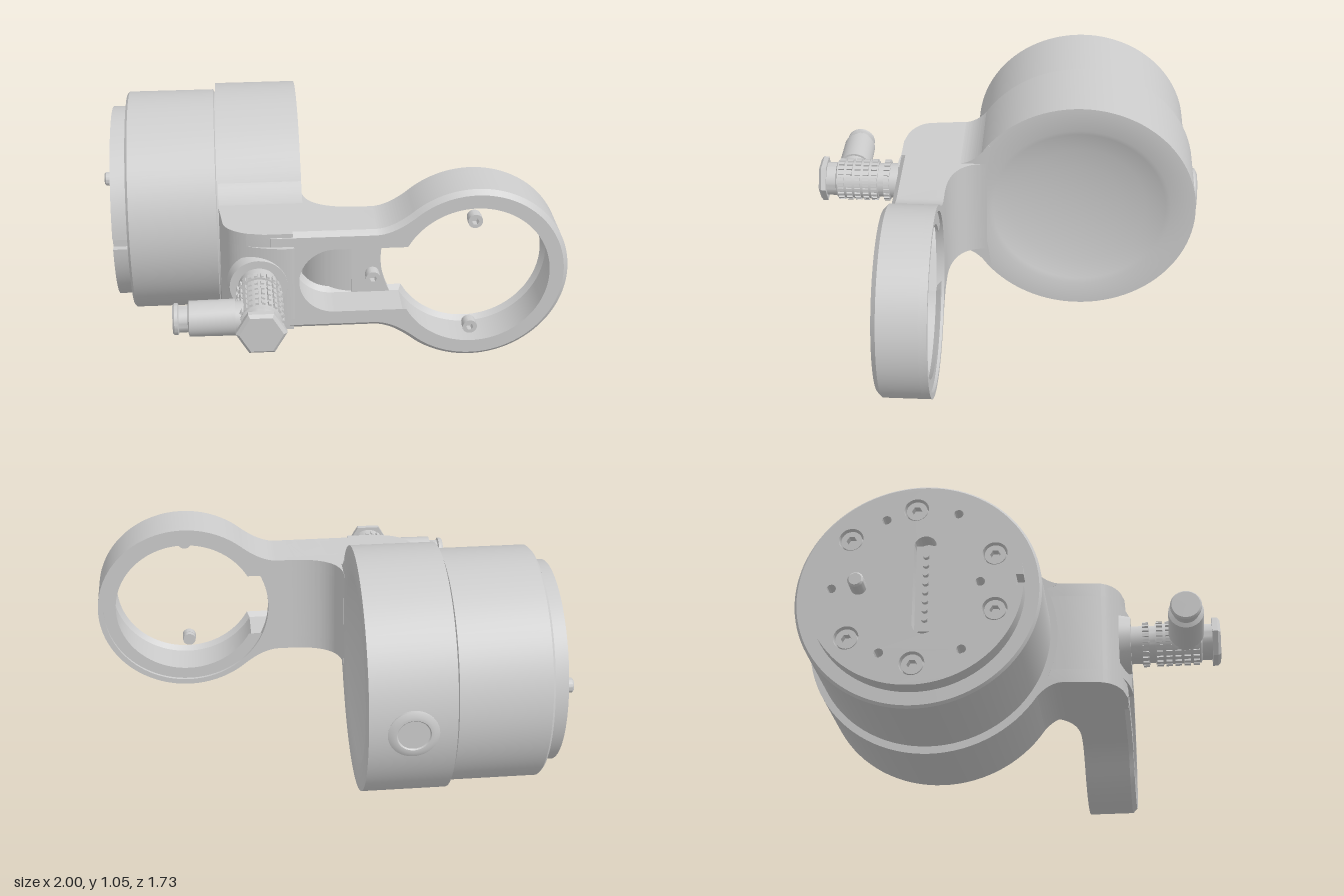
import * as THREE from 'three';
import { toCreasedNormals, mergeGeometries } from 'three/addons/utils/BufferGeometryUtils.js';

const CY = 0.527, CZ = -0.335; // drum axis
const ARM = 0.23, SLOT = 0.17; // half heights of the arm and of its slot
const mat = new THREE.MeshStandardMaterial({ color: 0xcccccc, side: THREE.DoubleSide });

function add(parent, name, geo, x = 0, y = 0, z = 0) {
  const m = new THREE.Mesh(toCreasedNormals(geo, 0.5), mat);
  m.name = name;
  m.position.set(x, y, z);
  parent.add(m);
  return m;
}

// Turned part from [radius, height] pairs; the axis is 'x' or 'z'
function turned(profile, axis, segments = 96) {
  const g = new THREE.LatheGeometry(profile.map(p => new THREE.Vector2(...p)), segments);
  return axis === 'x' ? g.rotateZ(-Math.PI / 2) : g.rotateX(Math.PI / 2);
}

const extrude = (shape, depth, opts = {}) =>
  new THREE.ExtrudeGeometry(shape, { depth, bevelEnabled: false, curveSegments: 48, ...opts });

function circle(r, x = 0, y = 0) {
  const p = new THREE.Path();
  p.absarc(x, y, r, 0, Math.PI * 2);
  return p;
}

// Socket head screw facing +z, its head at z = 0
function screwGeo(r, depth) {
  const s = new THREE.Shape().absarc(0, 0, r, 0, Math.PI * 2);
  const hex = [0, 1, 2, 3, 4, 5].map(i =>
    new THREE.Vector2(Math.cos(i * Math.PI / 3), Math.sin(i * Math.PI / 3)).multiplyScalar(r * 0.5));
  s.holes.push(new THREE.Path(hex));
  const head = extrude(s, depth * 0.6, { curveSegments: 12 }).translate(0, 0, -depth * 0.6);
  const shank = new THREE.CylinderGeometry(r * 0.95, r * 0.95, depth * 0.4, 24).toNonIndexed();
  shank.rotateX(Math.PI / 2).translate(0, 0, -depth * 0.8);
  return mergeGeometries([head, shank]);
}

// Outline of the arm and ring, starting at x0
function armOutline(x0) {
  const a = THREE.MathUtils.degToRad(130);
  const s = new THREE.Shape();
  s.moveTo(x0, ARM);
  s.lineTo(0.18, ARM);
  s.quadraticCurveTo(0.252, ARM, 0.6 + 0.4 * Math.cos(a), 0.4 * Math.sin(a));
  s.absarc(0.6, 0, 0.4, a, -a, true);
  s.quadraticCurveTo(0.252, -ARM, 0.18, -ARM);
  s.lineTo(x0, -ARM);
  s.closePath();
  return s;
}

function addDrum(g) {
  add(g, 'housingDrum', turned([[0, -0.462], [0.523, -0.462], [0.523, -0.105], [0.412, -0.105],
    [0.39, -0.114], [0.3, -0.135], [0.2, -0.15], [0.1, -0.158], [0, -0.16]], 'x'), 0, CY, CZ);
  add(g, 'motorDrum', turned([[0, -0.86], [0.485, -0.86], [0.495, -0.85], [0.495, -0.472],
    [0.485, -0.468], [0.485, -0.45], [0, -0.45]], 'x'), 0, CY, CZ);
  add(g, 'rearButton', turned([[0.105, 0], [0.105, 0.012], [0.085, 0.022], [0.07, 0.022], [0.065, 0.017], [0, 0.017]], 'z', 40)
    .rotateY(Math.PI), -0.285, CY, -0.846);
}

// End cap with notch, screws, dowel holes and a contact slot
function addCap(g) {
  const cap = new THREE.Group();
  cap.name = 'endCap';
  cap.position.set(-0.86, CY, CZ);
  cap.rotation.y = -Math.PI / 2; // local x -> z, local z -> -x
  g.add(cap);
  const s = new THREE.Shape();
  const n = 0.055;
  s.absarc(0, 0, 0.43, n, Math.PI * 2 - n);
  s.lineTo(0.4, -0.024);
  s.lineTo(0.4, 0.024);
  s.closePath();
  const screws = [90, 21, -21, -90, -140, 140].map(d => {
    const a = THREE.MathUtils.degToRad(d);
    return [0.34 * Math.cos(a), 0.34 * Math.sin(a)];
  });
  for (const [x, y] of screws) s.holes.push(circle(0.05, x, y));
  for (const [x, y] of [[-0.12, 0.3], [0.17, 0.31], [-0.33, 0], [0.19, -0.29], [-0.13, -0.29], [0.26, 0]])
    s.holes.push(circle(0.019, x, y));
  const slot = new THREE.Path();
  slot.absarc(0.04, 0.17, 0.045, 0, Math.PI);
  slot.absarc(0.04, -0.17, 0.045, Math.PI, Math.PI * 2);
  slot.closePath();
  s.holes.push(slot);
  add(cap, 'capPlate', extrude(s, 0.068));
  for (const [x, y] of screws) add(cap, 'capScrew', screwGeo(0.042, 0.05), x, y, 0.058);
  add(cap, 'contactStrip', new THREE.BoxGeometry(0.08, 0.38, 0.035), 0.04, 0, 0.0175);
  for (let i = 0; i < 8; i++)
    add(cap, 'contactPin', new THREE.CylinderGeometry(0.013, 0.013, 0.02, 12).rotateX(Math.PI / 2), 0.04, -0.14 + i * 0.04, 0.043);
  add(cap, 'locatingPin', turned([[0, 0], [0.032, 0], [0.032, 0.133], [0.025, 0.14], [0, 0.14]], 'z', 32), -0.22, 0, 0);
}

function addArm(g) {
  const arm = new THREE.Group();
  arm.name = 'arm';
  arm.position.y = CY;
  g.add(arm);
  // Elbow slabs, drawn in plan (x, z) and extruded down from yTop
  const elbow = (name, yTop, height, pocket) => {
    const s = new THREE.Shape();
    s.moveTo(-0.461, 0.08);
    s.lineTo(-0.461, 0.22);
    s.lineTo(-0.445, 0.36);
    s.quadraticCurveTo(-0.43, 0.42, -0.35, 0.45);
    if (pocket) {
      s.quadraticCurveTo(-0.26, 0.485, -0.18, 0.485);
      s.lineTo(-0.155, 0.482);
      s.lineTo(-0.155, 0.13);
      s.lineTo(-0.13, 0.1);
      s.quadraticCurveTo(-0.1, 0.275, 0.13, 0.275);
    } else {
      s.lineTo(-0.28, 0.465);
      s.lineTo(-0.16, 0.465);
      s.lineTo(-0.16, 0.44);
      s.lineTo(0.13, 0.44);
    }
    s.lineTo(0.13, 0.245);
    s.quadraticCurveTo(-0.104, 0.245, -0.104, 0.08);
    s.closePath();
    add(arm, name, extrude(s, height).rotateX(Math.PI / 2), 0, yTop);
  };
  elbow('elbowCore', SLOT, SLOT * 2, true);
  elbow('elbowCheek', ARM, ARM - SLOT, false);
  elbow('elbowCheek', -SLOT, ARM - SLOT, false);

  // Fillets blending the elbow into the drum
  for (const side of [1, -1]) {
    const f = new THREE.Shape();
    f.moveTo(0.21, side * (ARM - 0.001));
    f.quadraticCurveTo(0.135, side * ARM, 0.072, side * 0.327);
    f.lineTo(0.06, side * 0.32);
    f.lineTo(0.08, side * 0.19);
    f.closePath();
    add(arm, 'drumFillet', extrude(f, 0.357).rotateY(-Math.PI / 2), -0.1045);
  }

  // Slot floor and thin back of the ring
  const back = armOutline(0.1);
  back.holes.push(circle(0.375, 0.6, 0));
  add(arm, 'ringBack', extrude(back, 0.035), 0, 0, 0.245);

  // Side walls and ring, with the slot open into the ring
  const wall = armOutline(-0.27), r = 0.34, a = Math.PI - Math.asin(SLOT / r);
  const hole = new THREE.Path();
  hole.moveTo(0.6 + r * Math.cos(a), SLOT);
  hole.absarc(0.6, 0, r, a, -a, true);
  hole.lineTo(0.015, -SLOT);
  hole.absarc(0.015, 0, SLOT, -Math.PI / 2, -Math.PI * 1.5, true);
  hole.closePath();
  wall.holes.push(hole);
  add(arm, 'ringWall', extrude(wall, 0.17, { bevelEnabled: true, bevelSize: 0.02, bevelOffset: -0.02,
    bevelThickness: 0.02, bevelSegments: 1 }), 0, 0, 0.277);
  for (const [x, y] of [[0.595, 0.256], [0.595, -0.256], [0.175, 0]])
    add(arm, 'coverScrew', screwGeo(0.031, 0.05), x, y, 0.46);
}

function addConnector(g) {
  const c = new THREE.Group();
  c.name = 'connector';
  c.position.set(-0.305, CY, 0);
  g.add(c);
  add(c, 'socketCollar', turned([[0.13, 0.44], [0.12, 0.488], [0.085, 0.488]], 'z', 48));
  add(c, 'plugBody', turned([[0, 0.44], [0.08, 0.44], [0.08, 0.535], [0.087, 0.535], [0.087, 0.565], [0.078, 0.565],
    [0.078, 0.59], [0.086, 0.59], [0.086, 0.78], [0.076, 0.785], [0.076, 0.835], [0, 0.835]], 'z', 48));
  // Knurled grip
  const teeth = [];
  for (const z of [0.55, 0.608, 0.646, 0.684, 0.722, 0.76])
    for (let i = 0; i < 22; i++)
      teeth.push(new THREE.BoxGeometry(0.018, 0.014, 0.026).translate(0.086, 0, z).rotateZ(i * Math.PI / 11));
  add(c, 'knurl', mergeGeometries(teeth));
  add(c, 'hexNut', turned([[0, 0.828], [0.102, 0.828], [0.102, 0.85], [0.088, 0.862], [0, 0.862]], 'z', 6).rotateZ(Math.PI / 2));
  // Cable outlet pointing to the side
  add(c, 'cableOutlet', turned([[0, -0.35], [0.058, -0.35], [0.064, -0.343], [0.064, -0.33], [0.054, -0.325],
    [0.054, -0.29], [0.072, -0.285], [0.074, -0.1], [0.065, -0.1], [0.065, 0], [0, 0]], 'x', 40), 0, 0, 0.72);
}

export function createModel() {
  const g = new THREE.Group();
  g.name = 'drumWithRingArm';
  addDrum(g);
  addCap(g);
  addArm(g);
  addConnector(g);
  return g;
}
